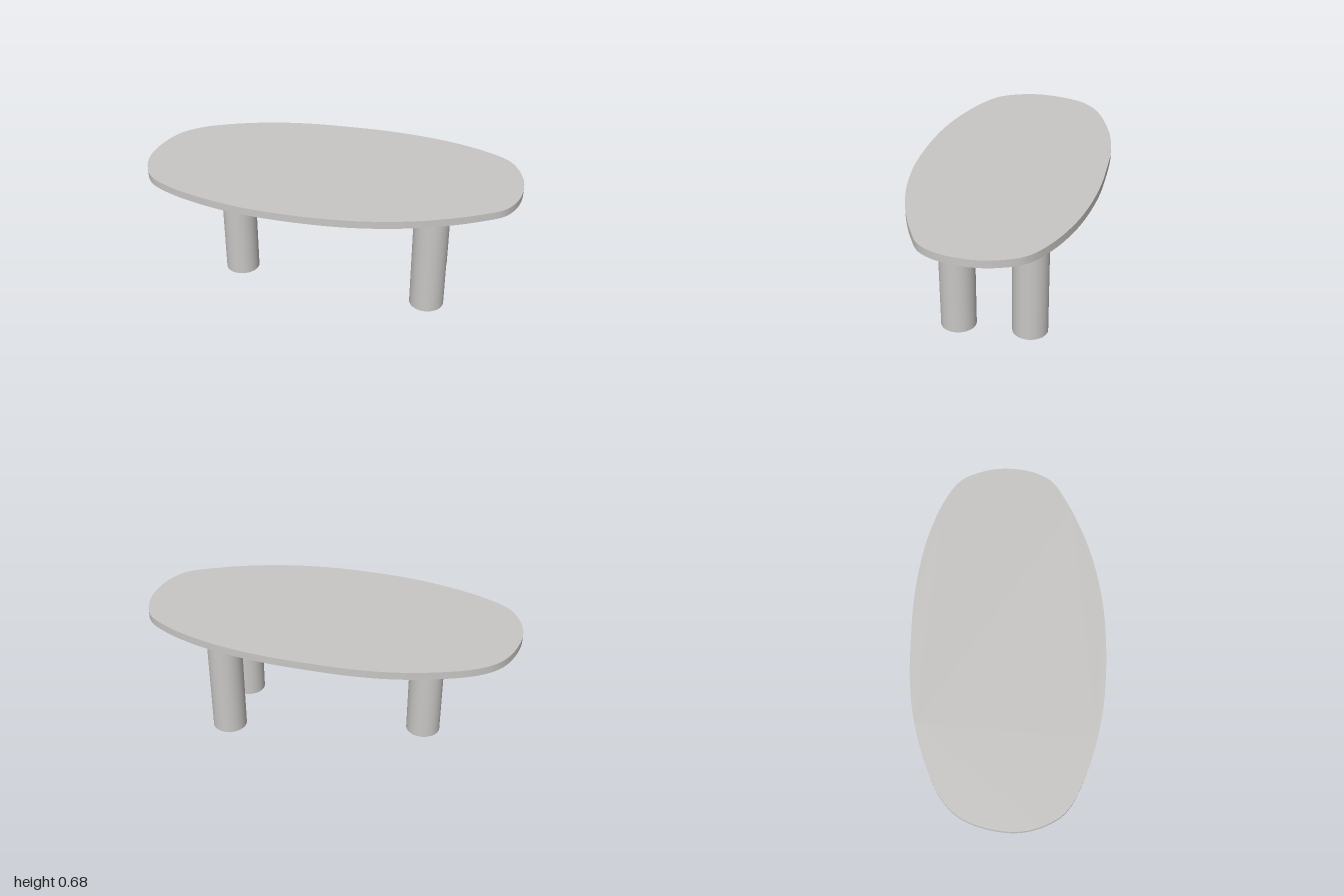
import * as THREE from 'three';
import { toCreasedNormals } from 'three/addons/utils/BufferGeometryUtils.js';

const TOP_Y = 0.675, THICKNESS = 0.04, LEG_RADIUS = 0.0925;

// Organic outline of the table top as [x, z]
const OUTLINE = [
  [-1, 0], [-0.975, -0.15], [-0.91, -0.285], [-0.8, -0.375], [-0.6, -0.45], [-0.4, -0.493],
  [-0.2, -0.508], [0, -0.502], [0.2, -0.488], [0.4, -0.457], [0.6, -0.405], [0.8, -0.32],
  [0.93, -0.225], [0.983, -0.11], [1, 0.01], [0.975, 0.165], [0.91, 0.275], [0.8, 0.34],
  [0.6, 0.42], [0.4, 0.472], [0.2, 0.499], [0.03, 0.504], [-0.2, 0.49], [-0.4, 0.46],
  [-0.6, 0.405], [-0.8, 0.32], [-0.92, 0.235], [-0.98, 0.12],
];

export function createModel() {
  const group = new THREE.Group();
  group.name = 'table';
  const stone = new THREE.MeshStandardMaterial({ color: 0xc8c6c4 });
  stone.name = 'warm grey';

  // Table top: closed smooth curve extruded downwards
  const curve = new THREE.CatmullRomCurve3(
    OUTLINE.map(([x, z]) => new THREE.Vector3(x, z, 0)), true, 'centripetal');
  const points = curve.getPoints(140).slice(0, -1).map(p => new THREE.Vector2(p.x, p.y));
  const slab = new THREE.ExtrudeGeometry(new THREE.Shape(points), { depth: THICKNESS, bevelEnabled: false });
  slab.rotateX(Math.PI / 2);
  const top = new THREE.Mesh(toCreasedNormals(slab, Math.PI / 5), stone);
  top.name = 'tableTop';
  top.position.y = TOP_Y;
  group.add(top);

  // Three round legs: a single one at one end, a pair at the other
  const height = TOP_Y - THICKNESS;
  const legGeometry = new THREE.CylinderGeometry(LEG_RADIUS, LEG_RADIUS, height, 64);
  const legs = { singleLeg: [-0.522, 0], frontLeg: [0.545, 0.187], backLeg: [0.545, -0.187] };
  for (const [name, [x, z]] of Object.entries(legs)) {
    const leg = new THREE.Mesh(legGeometry, stone);
    leg.name = name;
    leg.position.set(x, height / 2, z);
    group.add(leg);
  }
  return group;
}
